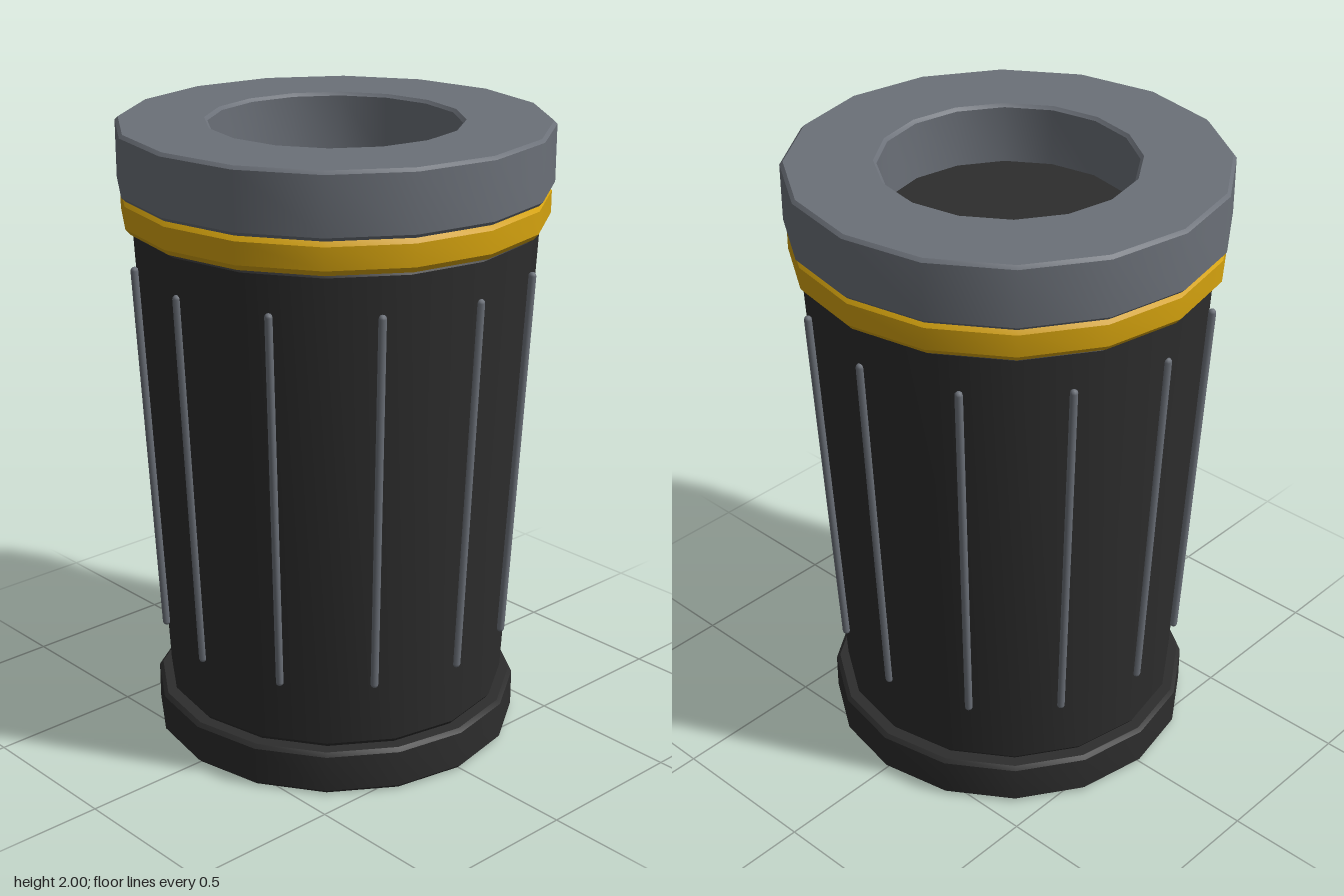
import * as THREE from 'three';
import { toCreasedNormals } from 'three/addons/utils/BufferGeometryUtils.js';

const SIDES = 16;

function material(name, color) {
  const m = new THREE.MeshStandardMaterial({ color });
  m.name = name;
  return m;
}

// Revolve a [radius, height] profile, smooth around, sharp at its chamfers
function turned(name, profile, mat) {
  const points = profile.map(([r, y]) => new THREE.Vector2(r, y));
  const mesh = new THREE.Mesh(toCreasedNormals(new THREE.LatheGeometry(points, SIDES), 0.6), mat);
  mesh.name = name;
  return mesh;
}

export function createModel() {
  const black = material('black plastic', 0x2d2d2d);
  const grey = material('grey metal', 0x6b7078);
  const yellow = material('yellow band', 0xd4a20e);

  const group = new THREE.Group();
  group.name = 'trashCan';

  // Foot
  group.add(turned('base', [
    [0, 0], [0.58, 0], [0.592, 0.012], [0.592, 0.13], [0.58, 0.142], [0, 0.142],
  ], black));

  // Tapered body, with a neck that closes the opening below the lid
  group.add(turned('body', [
    [0, 0.142], [0.54, 0.142], [0.551, 0.156], [0.631, 1.685], [0.62, 1.7],
    [0.6, 1.7], [0.6, 1.808], [0, 1.808],
  ], black));

  // Coloured band
  group.add(turned('band', [
    [0.58, 1.697], [0.648, 1.697], [0.663, 1.715], [0.663, 1.784], [0.648, 1.802],
    [0.58, 1.802], [0.58, 1.697],
  ], yellow));

  // Lid ring with a round opening
  group.add(turned('lidRing', [
    [0.39, 1.8], [0.66, 1.8], [0.672, 1.812], [0.672, 1.99], [0.662, 2],
    [0.398, 2], [0.388, 1.99], [0.388, 1.8],
  ], grey));

  // Twelve slim ribs leaning with the body
  const low = new THREE.Vector3(0, 0.365, 0.563);
  const high = new THREE.Vector3(0, 1.56, 0.625);
  const axis = high.clone().sub(low);
  const ribGeometry = new THREE.CapsuleGeometry(0.0125, axis.length(), 3, 8);
  const ribs = new THREE.Group();
  ribs.name = 'ribs';
  for (let i = 0; i < 12; i++) {
    const pivot = new THREE.Group();
    const rib = new THREE.Mesh(ribGeometry, grey);
    rib.name = 'rib';
    rib.position.copy(low).add(high).multiplyScalar(0.5);
    rib.rotation.x = Math.atan2(axis.z, axis.y);
    pivot.rotation.y = (i * Math.PI) / 6;
    pivot.add(rib);
    ribs.add(pivot);
  }
  group.add(ribs);

  return group;
}
